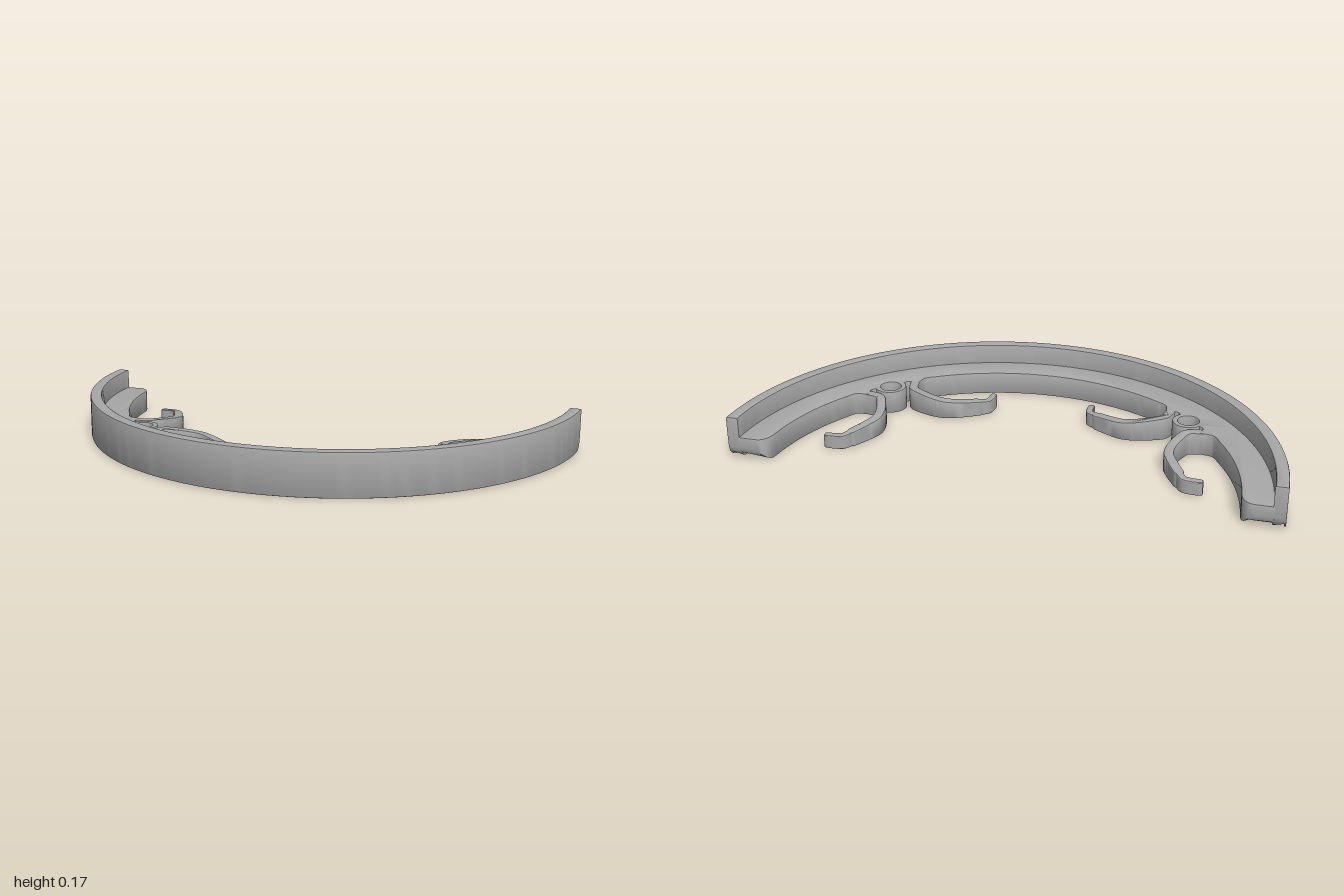
import * as THREE from 'three';
import { toCreasedNormals } from 'three/addons/utils/BufferGeometryUtils.js';

// Plan coordinates are (a, b) with the ring centre at the origin; z = b - CZ.
const CZ = 0.51, END = 0.02, SHELF = 0.088, RIM = 0.165, BOSS = 0.588;
const V = (a, b) => new THREE.Vector2(a, b);
const mirrorX = (pts) => pts.map((p) => V(-p.x, p.y));

// Arc from angle t0 to t1, with points denser near t0
function arc(r, t0, t1, n) {
  return Array.from({ length: n + 1 }, (_, i) => {
    const t = t0 + (t1 - t0) * Math.pow(i / n, 1.4);
    return V(r * Math.cos(t), r * Math.sin(t));
  });
}

// Extrude a plan outline upward from y = 0, with slightly bevelled edges
function slab(shape, height, bevel) {
  const g = new THREE.ExtrudeGeometry(shape, {
    depth: height - 2 * bevel, bevelEnabled: true, bevelThickness: bevel,
    bevelSize: bevel, bevelOffset: -bevel, bevelSegments: 2, curveSegments: 24,
  });
  g.rotateX(Math.PI / 2);
  g.translate(0, height - bevel, -CZ);
  return g;
}

function moveY(g, rule) {
  const p = g.attributes.position;
  for (let i = 0; i < p.count; i++) p.setY(i, rule(p.getX(i), p.getY(i), p.getZ(i) + CZ));
  return g;
}

// Round off the bottom corner at both ends of the ring
function roundEnds(g) {
  const r = 0.05;
  return moveY(g, (x, y, b) => {
    const t = Math.min(1, Math.max(0, (END + r - b) / r));
    return Math.max(y, r * (1 - Math.sqrt(1 - t * t)));
  });
}

function rimShape() {
  const outer = arc(1, Math.asin(END), Math.PI / 2, 56);
  const inner = arc(0.955, Math.asin(END / 0.955), Math.PI / 2, 56);
  return new THREE.Shape([
    ...outer, ...mirrorX(outer).reverse().slice(1),
    ...mirrorX(inner), ...inner.slice(0, -1).reverse(),
  ]);
}

function shelfShape() {
  const R = 0.848, tEdge = 0.565;
  // End corner, inner edge and pocket corner as far as the boss
  const corner = new THREE.QuadraticBezierCurve(V(0.895, END), V(0.85, END), V(0.843, 0.09)).getPoints(8);
  const pocket = new THREE.SplineCurve([
    V(0.713, 0.462), V(0.695, 0.485), V(0.665, 0.492), V(0.638, 0.496),
    V(0.635, 0.515), V(0.65, 0.524), V(0.647, 0.54),
  ]).getPoints(18);
  const boss = Array.from({ length: 17 }, (_, i) => {
    const t = -Math.PI * (0.22 + 0.53 * i / 16);
    return V(BOSS + 0.06 * Math.cos(t), BOSS + 0.06 * Math.sin(t));
  });
  const half = [...corner, ...arc(R, 0.13, tEdge, 16), ...pocket, ...boss];
  // Mirror across the diagonal, then finish along the front inner edge
  const swapped = half.slice(corner.length + 17, -1).map((p) => V(p.y, p.x)).reverse();
  const front = arc(R, Math.PI / 2 - tEdge, Math.PI / 2, 20);
  const inner = [...half, ...swapped, ...front];
  const outer = arc(0.96, Math.asin(END / 0.96), Math.PI / 2, 56);
  const shape = new THREE.Shape([
    ...outer, ...mirrorX(outer).reverse().slice(1),
    ...mirrorX(inner), ...inner.slice(0, -1).reverse(),
  ]);
  for (const s of [1, -1]) {
    shape.holes.push(new THREE.Path().absarc(s * BOSS, BOSS, 0.04, 0, Math.PI * 2, true));
  }
  return shape;
}

// Bent spring arm: a narrow strip along a centre line
function armShape(map) {
  const path = new THREE.CatmullRomCurve3([
    [0.675, 0.51], [0.635, 0.507], [0.598, 0.494], [0.575, 0.45], [0.557, 0.39], [0.556, 0.345],
    [0.575, 0.3], [0.612, 0.235], [0.633, 0.204], [0.657, 0.198], [0.702, 0.198],
  ].map(([a, b]) => new THREE.Vector3(a, b, 0)), false, 'centripetal');
  const n = 48, left = [], right = [];
  for (let i = 0; i <= n; i++) {
    const p = path.getPointAt(i / n), t = path.getTangentAt(i / n);
    const w = i === n ? 0.008 : i > n * 0.78 ? 0.013 : 0.018;
    left.push(map(p.x - t.y * w, p.y + t.x * w));
    right.push(map(p.x + t.y * w, p.y - t.x * w));
  }
  return new THREE.Shape([...left, ...right.reverse()]);
}

// Arms get lower from the root to the tip
function slopeArm(g) {
  return moveY(g, (x, y, b) => {
    const d = Math.hypot(Math.abs(x) - BOSS, b - BOSS);
    const k = Math.min(1, Math.max(0, (d - 0.1) / 0.3));
    return y * (1 - 0.4 * k);
  });
}

export function createModel() {
  const model = new THREE.Group();
  model.name = 'halfRingClipHolder';
  const grey = new THREE.MeshStandardMaterial({ color: 0xa8a8a8 });
  grey.name = 'grey';
  const add = (name, g) => {
    const mesh = new THREE.Mesh(toCreasedNormals(g, 0.5), grey);
    mesh.name = name;
    model.add(mesh);
  };

  add('outerRim', roundEnds(slab(rimShape(), RIM, 0.006)));
  add('innerShelf', roundEnds(slab(shelfShape(), SHELF, 0.003)));

  // Each boss carries one arm to the back and one to the front
  for (const [side, s] of [['left', 1], ['right', -1]]) {
    add(side + 'BackArm', slopeArm(slab(armShape((a, b) => V(s * a, b)), SHELF, 0.005)));
    add(side + 'FrontArm', slopeArm(slab(armShape((a, b) => V(s * b, a)), SHELF, 0.005)));
  }
  return model;
}
